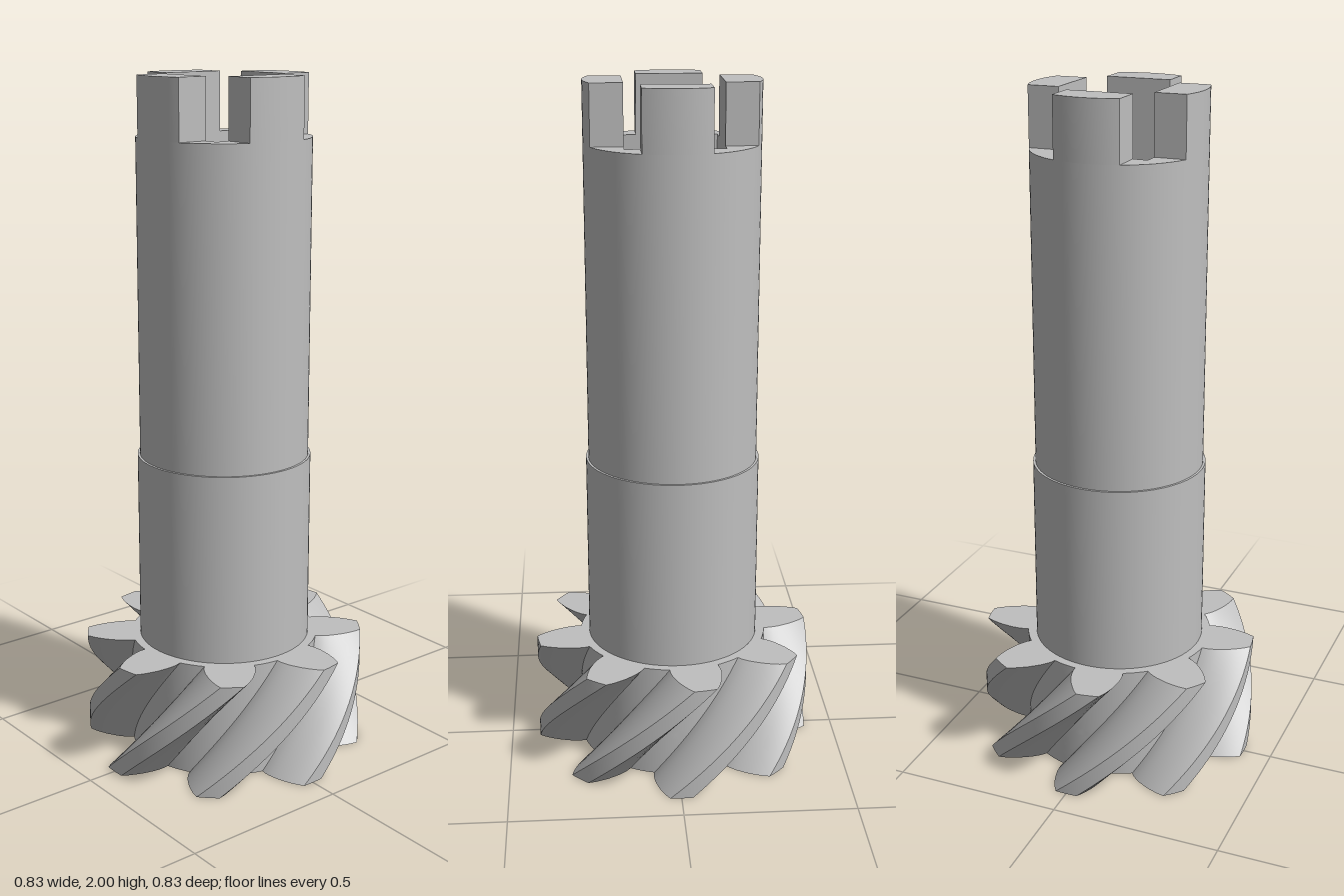
import * as THREE from 'three';
import { toCreasedNormals } from 'three/addons/utils/BufferGeometryUtils.js';

const DEG = Math.PI / 180;
const TEETH = 8, GEAR_HEIGHT = 0.345, TWIST = 54.6 * DEG;
const COLLAR_R = 0.255, SHAFT_R = 0.248, BORE = 0.138;
const COLLAR_TOP = 0.91, SLOT_FLOOR = 1.83, TOP = 2;

const polar = (r, t) => new THREE.Vector2(r * Math.sin(t), -r * Math.cos(t));

function circle(r, n = 96) {
  return Array.from({ length: n }, (_, i) => polar(r, (i / n) * Math.PI * 2));
}

// Extrudes an outline (with optional hole) upward from y0 to y1
function prism(points, hole, y0, y1, steps = 1) {
  const shape = new THREE.Shape(points);
  if (hole) shape.holes.push(new THREE.Path(hole));
  const geo = new THREE.ExtrudeGeometry(shape, { depth: y1 - y0, steps, bevelEnabled: false });
  return geo.rotateX(-Math.PI / 2).translate(0, y0, 0);
}

// Eight convex-sided teeth with narrow lands and short root arcs
function gearOutline() {
  const flank = [[0.281, 14.8], [0.296, 14.5], [0.311, 13.7], [0.328, 12.6], [0.345, 11.2],
    [0.363, 9.8], [0.38, 8.2], [0.398, 6.5], [0.415, 4.6]]; // radius, half-angle
  const tooth = [
    ...flank.map(([r, a]) => [r, -a]),
    [0.415, -1.6], [0.415, 1.6],
    ...flank.slice().reverse(),
    [0.281, 18.6], [0.281, 22.5], [0.281, 26.4],
  ];
  const points = [];
  for (let i = 0; i < TEETH; i++) {
    for (const [r, a] of tooth) points.push(polar(r, (a + i * 360 / TEETH) * DEG));
  }
  return points;
}

// Turns each level of the gear in proportion to its height
function twist(geo) {
  const p = geo.attributes.position, v = new THREE.Vector3(), up = new THREE.Vector3(0, 1, 0);
  for (let i = 0; i < p.count; i++) {
    v.fromBufferAttribute(p, i);
    v.applyAxisAngle(up, TWIST * v.y / GEAR_HEIGHT);
    p.setXYZ(i, v.x, v.y, v.z);
  }
  return geo;
}

export function createModel() {
  const group = new THREE.Group();
  group.name = 'helicalGearShaft';
  const steel = new THREE.MeshStandardMaterial({ color: 0xbfbfbf });
  steel.name = 'steelGrey';

  const add = (name, geo) => {
    const mesh = new THREE.Mesh(toCreasedNormals(geo, 25 * DEG), steel);
    mesh.name = name;
    group.add(mesh);
    return mesh;
  };

  const bore = [[-BORE, -BORE], [BORE, -BORE], [BORE, BORE], [-BORE, BORE]]
    .map(([x, y]) => new THREE.Vector2(x, y));

  // Helical gear around the foot of the shaft
  add('helicalGear', twist(prism(gearOutline(), circle(COLLAR_R), 0, GEAR_HEIGHT, 24)));

  // Shaft with a square bore, slightly thicker in its lower part
  add('lowerShaft', prism(circle(COLLAR_R), bore, 0, COLLAR_TOP));
  add('upperShaft', prism(circle(SHAFT_R), bore, COLLAR_TOP, SLOT_FLOOR));

  // Four drive tabs around the top
  const half = 0.095, edge = Math.asin(half / SHAFT_R);
  const tab = [new THREE.Vector2(half, -BORE), new THREE.Vector2(-half, -BORE)];
  for (let i = 0; i <= 12; i++) tab.push(polar(SHAFT_R, edge * (i / 6 - 1)));
  for (let i = 0; i < 4; i++) {
    add('driveTab' + (i + 1), prism(tab, null, SLOT_FLOOR, TOP)).rotation.y = i * Math.PI / 2;
  }
  return group;
}
